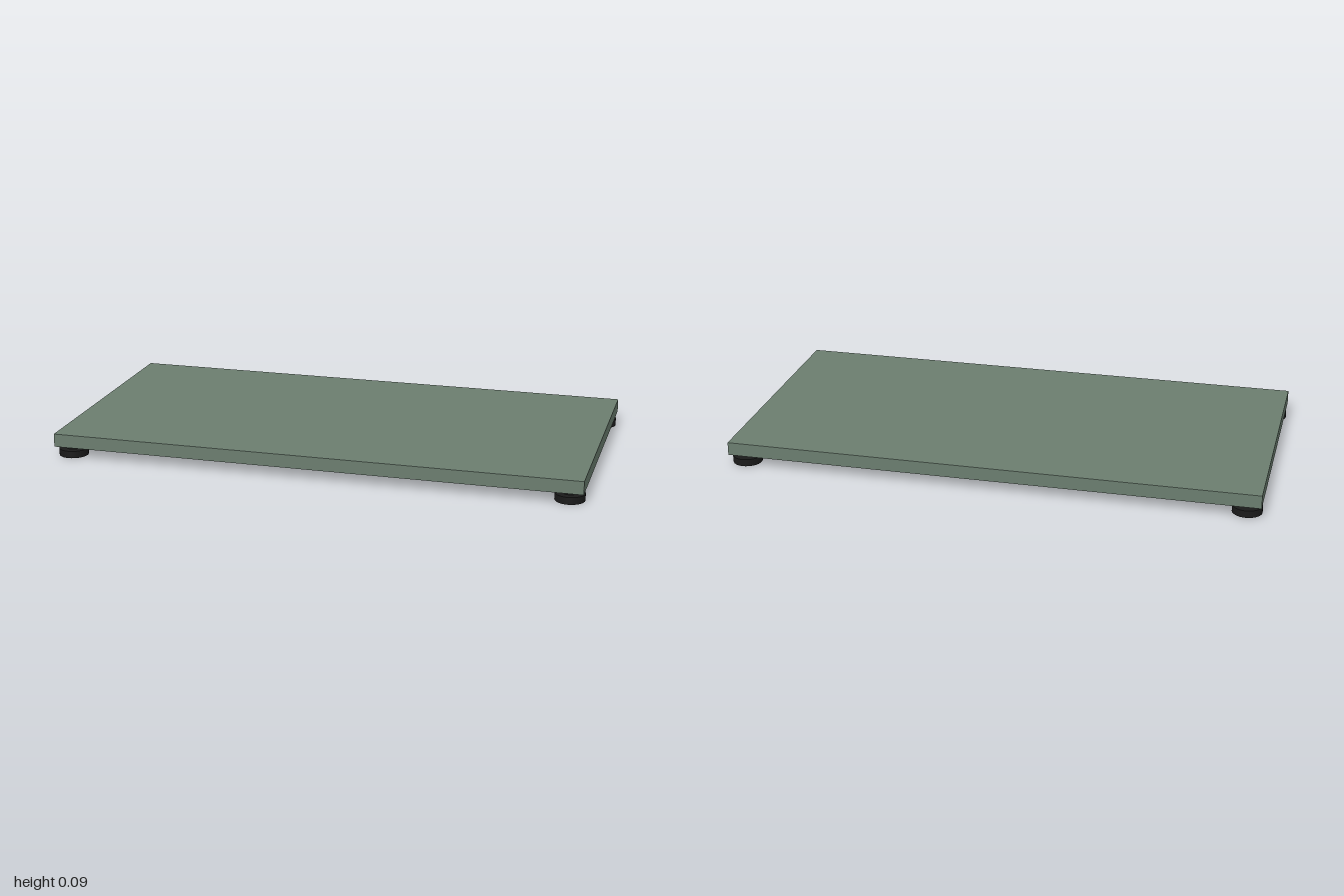
import * as THREE from 'three';

const slabMaterial = new THREE.MeshStandardMaterial({ color: 0x6b7d6f });
const footMaterial = new THREE.MeshStandardMaterial({ color: 0x1a1a1a });

// Round foot: wide pad on the ground, narrow neck up to the slab
function createFoot(name, x, z) {
  const foot = new THREE.Group();
  foot.name = name;
  const addDisc = (part, radius, bottom, top) => {
    const disc = new THREE.Mesh(
      new THREE.CylinderGeometry(radius, radius, top - bottom, 32), footMaterial);
    disc.name = part;
    disc.position.y = (bottom + top) / 2;
    foot.add(disc);
  };
  addDisc('footPad', 0.055, 0, 0.027);
  addDisc('footNeck', 0.0275, 0.027, 0.041);
  foot.position.set(x, 0, z);
  return foot;
}

export function createModel() {
  const model = new THREE.Group();
  model.name = 'platform';

  // Flat rectangular slab
  const slab = new THREE.Mesh(new THREE.BoxGeometry(2, 0.05, 1), slabMaterial);
  slab.name = 'slab';
  slab.position.y = 0.066;
  model.add(slab);

  // One foot under each corner
  for (const [side, sx] of [['Left', 1], ['Right', -1]]) {
    for (const [end, sz] of [['front', 1], ['back', -1]]) {
      model.add(createFoot(`${end}${side}Foot`, sx * 0.945, sz * 0.445));
    }
  }
  return model;
}
